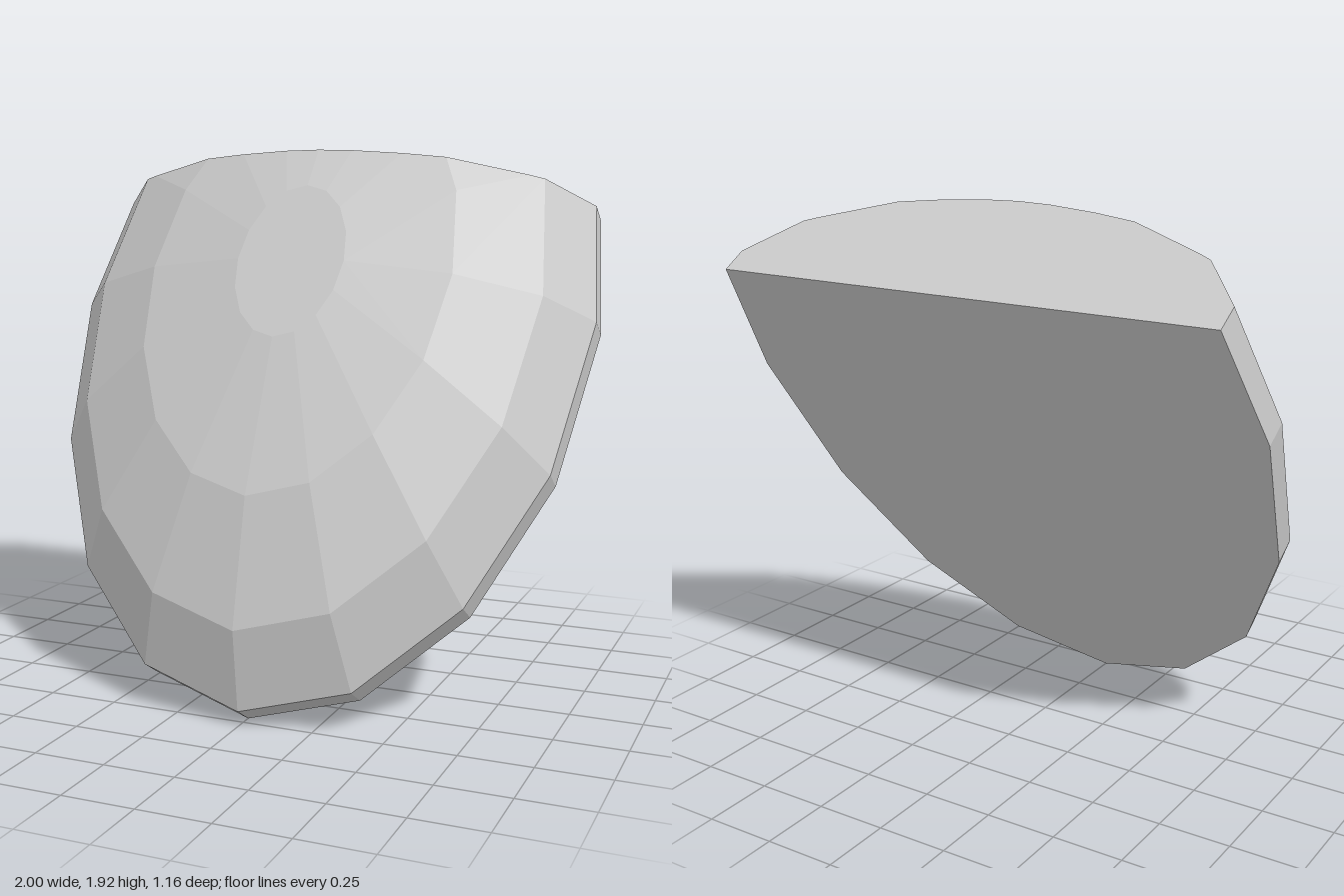
import * as THREE from 'three';
import { ConvexGeometry } from 'three/addons/geometries/ConvexGeometry.js';

const SIDES = 16;
const CENTRE = 1.5;   // dome centre, measured along the slab
const CUT = 1.96;     // where the straight top edge slices the dome
// [radius, height] of the rings: flat back, rim, then two bands up to the flat cap
const RINGS = [[1, 0], [1, 0.1], [0.848, 0.283], [0.566, 0.425], [0.199, 0.5]];

export function createModel() {
  const model = new THREE.Group();
  const grey = new THREE.MeshStandardMaterial({ color: 0xcccccc });
  grey.name = 'light grey';

  // Elliptical rings of the faceted dome
  const ringPoint = (r, i) => {
    const a = (i / SIDES) * Math.PI * 2;
    const [radius, height] = RINGS[r];
    return new THREE.Vector3(radius * Math.sin(a), CENTRE - 1.5 * radius * Math.cos(a), height);
  };

  // Keep the points below the cut, and add the points where edges cross it
  const points = [];
  const addCrossing = (a, b) => {
    if ((a.y - CUT) * (b.y - CUT) < 0) {
      points.push(a.clone().lerp(b, (CUT - a.y) / (b.y - a.y)));
    }
  };
  for (let r = 0; r < RINGS.length; r++) {
    for (let i = 0; i < SIDES; i++) {
      const p = ringPoint(r, i);
      if (p.y <= CUT) points.push(p);
      addCrossing(p, ringPoint(r, i + 1));
      if (r + 1 < RINGS.length) addCrossing(p, ringPoint(r + 1, i));
    }
  }

  // Faceted slab, leaning back with its lowest point on the ground
  const slab = new THREE.Mesh(new ConvexGeometry(points), grey);
  slab.name = 'domedSlab';
  slab.rotation.x = -Math.atan2(0.528, 0.849);
  slab.position.z = 0.46;
  model.add(slab);
  return model;
}
